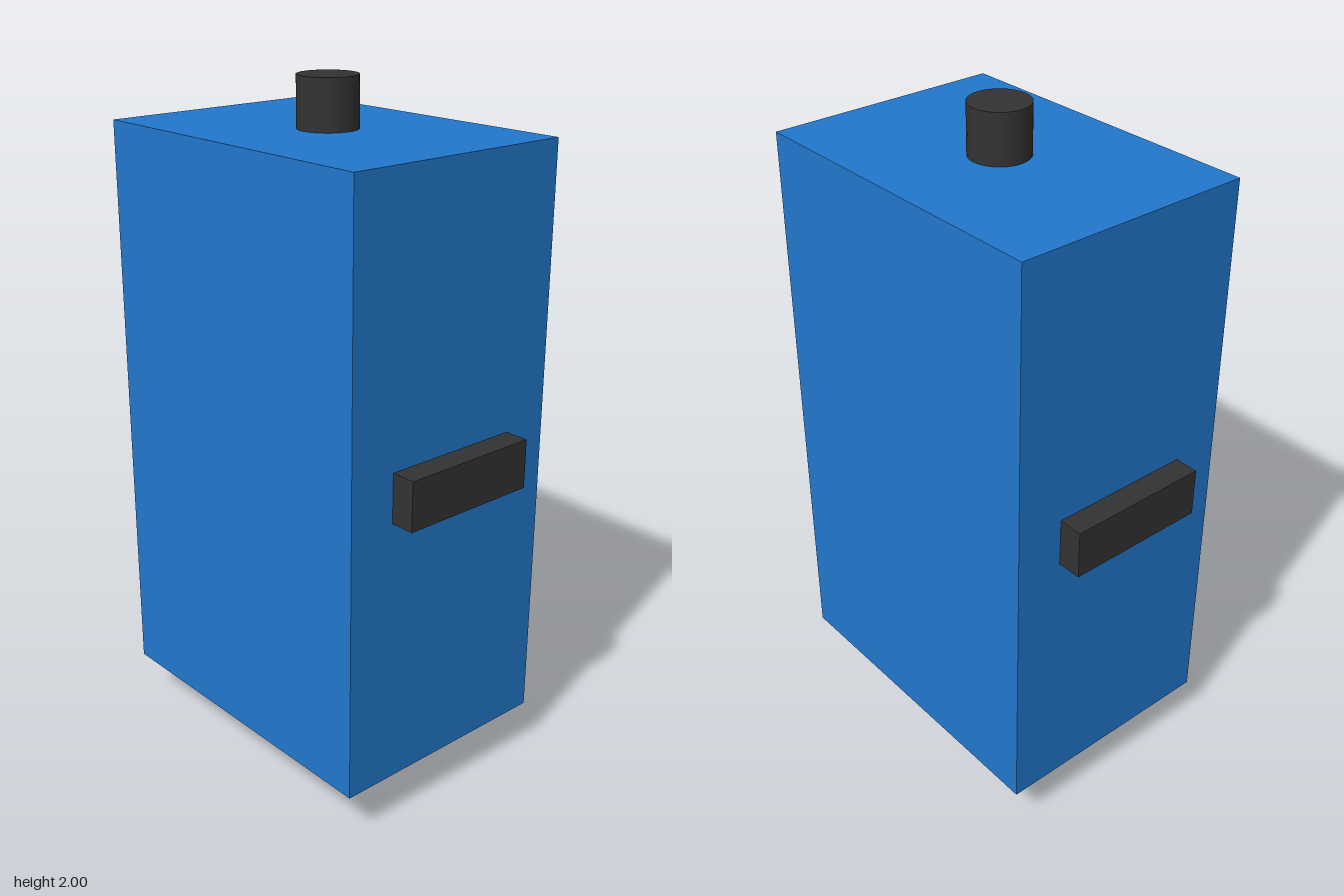
import * as THREE from 'three';

export function createModel() {
  const model = new THREE.Group();
  const blue = new THREE.MeshStandardMaterial({ color: 0x2277cc });
  blue.name = 'blue';
  const charcoal = new THREE.MeshStandardMaterial({ color: 0x333333 });
  charcoal.name = 'charcoal';

  const u = 1 / 7; // module size: the body is 7 x 12 x 5 units

  function add(name, geometry, material, x, y) {
    const mesh = new THREE.Mesh(geometry, material);
    mesh.name = name;
    mesh.position.set(x, y, 0);
    model.add(mesh);
  }

  // Main box
  add('body', new THREE.BoxGeometry(7 * u, 12 * u, 5 * u), blue, 0, 1);

  // Round stubs centred on the top and bottom faces
  const stub = new THREE.CylinderGeometry(0.6 * u, 0.6 * u, u, 32);
  add('topStub', stub, charcoal, 0, 2 - u / 2);
  add('bottomStub', stub, charcoal, 0, u / 2);

  // Horizontal bars on both sides
  const bar = new THREE.BoxGeometry(u / 2, u, 3 * u);
  for (const [name, side] of [['leftBar', 1], ['rightBar', -1]]) {
    add(name, bar, charcoal, side * 3.75 * u, 1);
  }

  return model;
}
